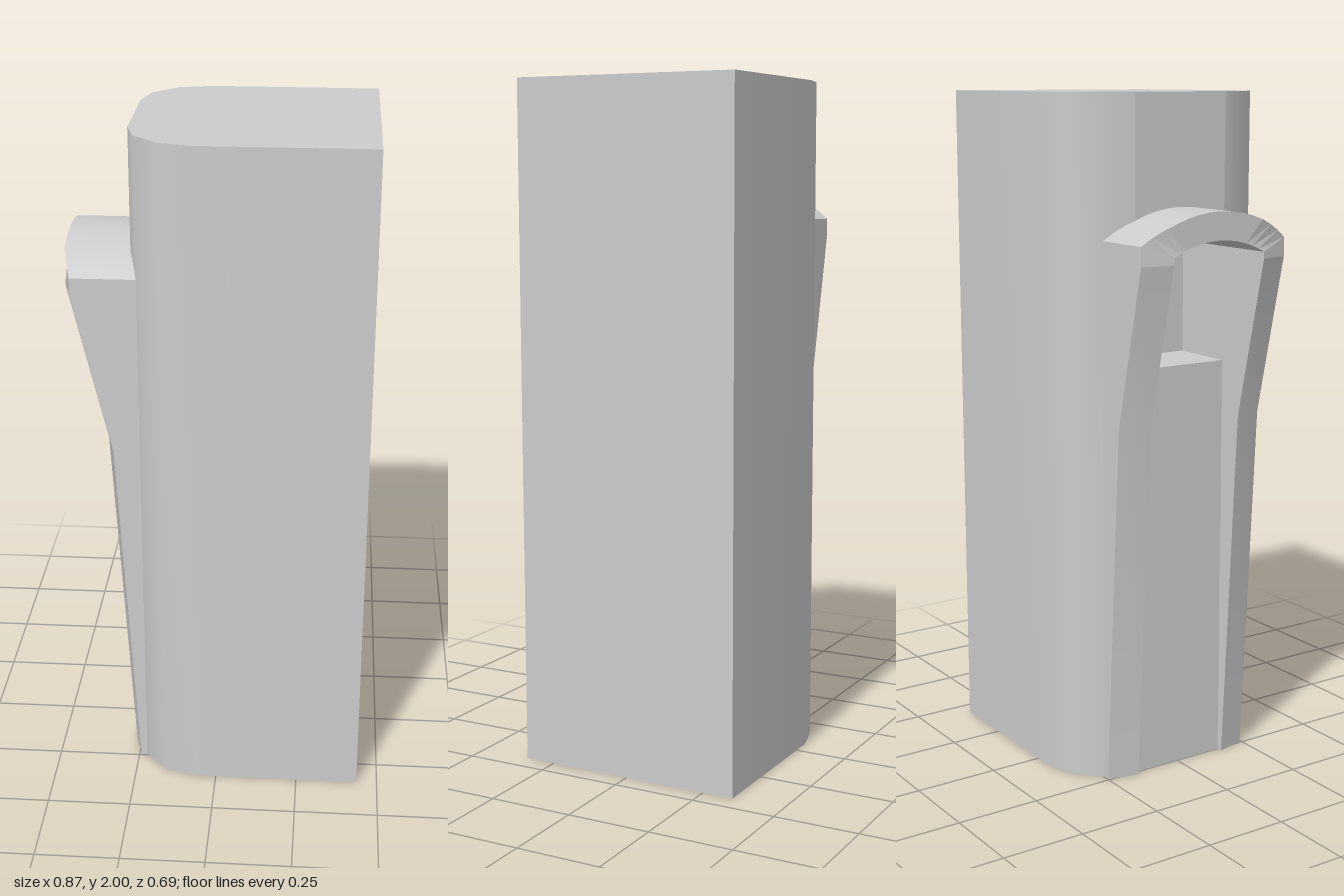
import * as THREE from 'three';
import { toCreasedNormals } from 'three/addons/utils/BufferGeometryUtils.js';

const FACE = -0.25, POCKET = -0.05, HALF = 0.155;   // flat face, recess floor, half width of opening
const ARC_Y = 1.28, R_OUT = 0.4, R_IN = 0.32, HALF_OUT = 0.247, SEG = 14;

export function createModel() {
  const group = new THREE.Group();
  const material = new THREE.MeshStandardMaterial({ color: 0xcccccc });
  const add = (name, geometry) => {
    const mesh = new THREE.Mesh(geometry, material);
    mesh.name = name;
    group.add(mesh);
  };

  // Body: block with two rounded long edges and a channel down the middle of the rounded face
  const side = [[FACE, HALF], [-0.225, HALF_OUT], [-0.155, 0.318], [-0.06, 0.343], [0.437, 0.343]];
  const half = [[POCKET, HALF], ...side];
  const outline = [...half, ...half.map(([x, z]) => [x, -z]).reverse()];
  const bodyShape = new THREE.Shape(outline.map(([x, z]) => new THREE.Vector2(x, z)));
  const body = new THREE.ExtrudeGeometry(bodyShape, { depth: 2, bevelEnabled: false });
  body.rotateX(-Math.PI / 2);
  add('body', toCreasedNormals(body, 0.7));

  // Lower panel fills the channel up to the ledge of the recess
  const ledge = 1.225;
  const panel = new THREE.BoxGeometry(POCKET - FACE, ledge, 2 * HALF);
  panel.translate((POCKET + FACE) / 2, ledge / 2, 0);
  add('lowerPanel', panel);

  // Upper panel closes the channel above the arched recess
  const inAngle = Math.asin(HALF / R_IN), outAngle = Math.asin(HALF_OUT / R_OUT);
  const points = [new THREE.Vector2(HALF, 2), new THREE.Vector2(-HALF, 2)];
  for (let i = 0; i <= SEG; i++) {
    const a = inAngle * (2 * i / SEG - 1);
    points.push(new THREE.Vector2(R_IN * Math.sin(a), ARC_Y + R_IN * Math.cos(a)));
  }
  const upper = new THREE.ExtrudeGeometry(new THREE.Shape(points), { depth: POCKET - FACE, bevelEnabled: false });
  upper.rotateY(-Math.PI / 2);
  upper.translate(POCKET, 0, 0);
  add('upperPanel', toCreasedNormals(upper, 0.7));

  add('archFrame', archFrame(inAngle, outAngle));
  return group;
}

// Arched frame that flares away from the body towards its top
function archFrame(inAngle, outAngle) {
  const bend = z => 0.025 * Math.max(0, (Math.abs(z) - HALF) / (HALF_OUT - HALF));
  const front = y => {
    if (y < 1.07) return THREE.MathUtils.lerp(-0.268, -0.328, y / 1.07);
    return THREE.MathUtils.lerp(-0.328, -0.437, Math.min(1, (y - 1.07) / 0.47));
  };

  // Path of [outer z, outer y, inner z, inner y] up one leg, over the arch and down the other
  const leg = [0, 1.07, 1.54].map(y => [HALF_OUT, y, HALF, y]);
  const path = [...leg];
  for (let i = 0; i <= SEG; i++) {
    const t = 1 - 2 * i / SEG, o = t * outAngle, n = t * inAngle;
    path.push([R_OUT * Math.sin(o), ARC_Y + R_OUT * Math.cos(o), R_IN * Math.sin(n), ARC_Y + R_IN * Math.cos(n)]);
  }
  path.push(...leg.map(([oz, oy, iz, iy]) => [-oz, oy, -iz, iy]).reverse());

  const sections = path.map(([oz, oy, iz, iy]) => [
    [FACE + bend(oz), oy, oz], [front(oy) + bend(oz), oy, oz],
    [front(iy) + bend(iz), iy, iz], [FACE + bend(iz), iy, iz],
  ]);
  const positions = [];
  const quad = (a, b, c, d) => positions.push(...a, ...b, ...c, ...a, ...c, ...d);
  for (let i = 0; i < sections.length - 1; i++) {
    const s = sections[i], n = sections[i + 1];
    for (let k = 0; k < 3; k++) quad(s[k], n[k], n[k + 1], s[k + 1]);
  }
  // Feet
  quad(...sections[0]);
  quad(...[...sections[sections.length - 1]].reverse());

  const geometry = new THREE.BufferGeometry();
  geometry.setAttribute('position', new THREE.Float32BufferAttribute(positions, 3));
  return toCreasedNormals(geometry, 0.2);
}
